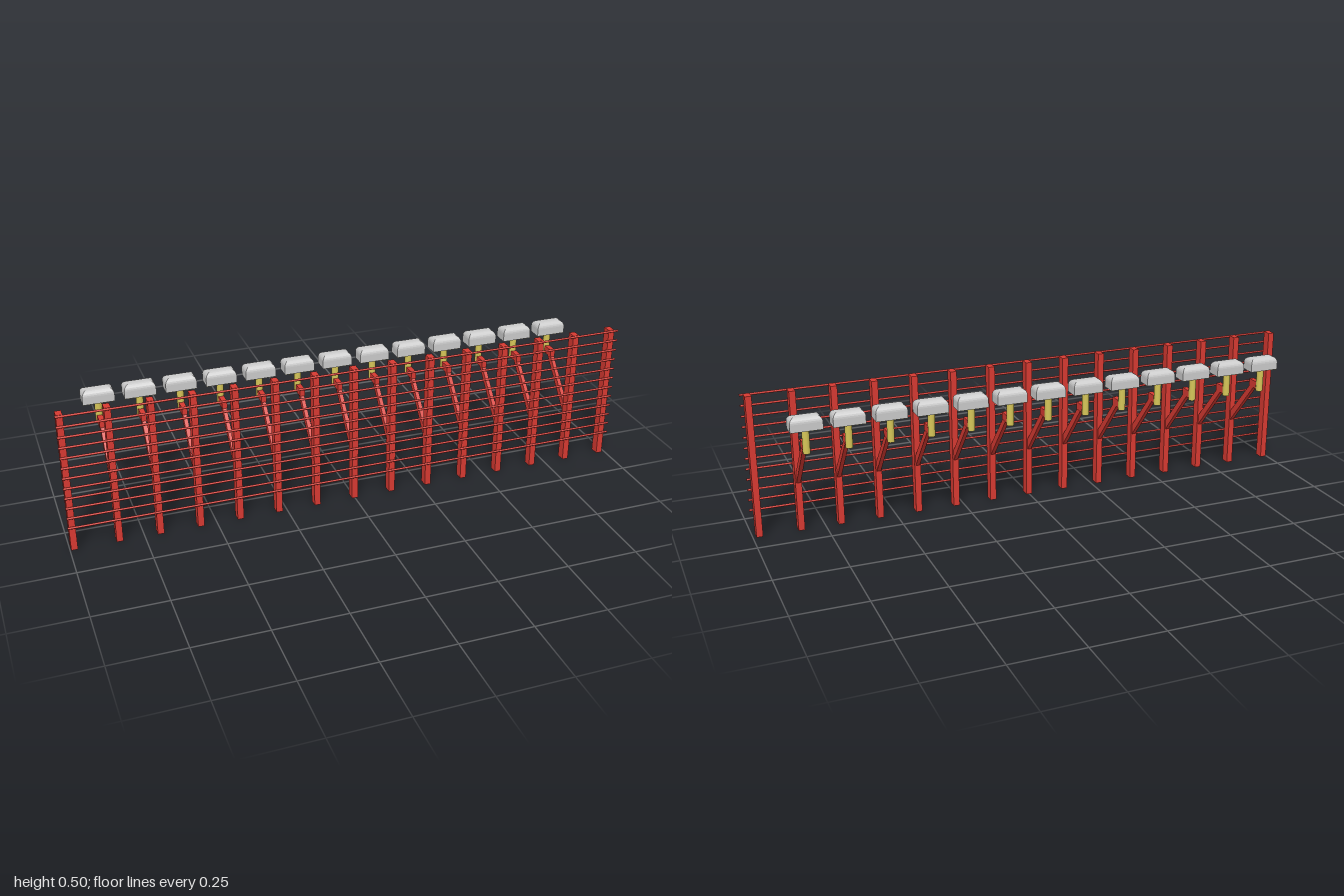
import * as THREE from 'three';

const red = new THREE.MeshStandardMaterial({ color: 0xd83a32 });
const yellow = new THREE.MeshStandardMaterial({ color: 0xd6c658 });
const grey = new THREE.MeshStandardMaterial({ color: 0xcccccc, flatShading: true });

function part(name, geometry, material, x = 0, y = 0, z = 0) {
  const mesh = new THREE.Mesh(geometry, material);
  mesh.name = name;
  mesh.position.set(x, y, z);
  return mesh;
}

// Side outline of [z, y] points, extruded along x and centred on x = 0
function sidePlate(points, width) {
  const shape = new THREE.Shape(points.map(([z, y]) => new THREE.Vector2(z, y)));
  const g = new THREE.ExtrudeGeometry(shape, { depth: width, bevelEnabled: false });
  return g.translate(0, 0, -width / 2).rotateY(-Math.PI / 2);
}

// Lamp hood: rectangular rings that shrink along a quarter arc, closed at the top
function hoodGeometry(halfX, halfZ, wall, dome, inset) {
  const rings = [[0, 0]];
  const steps = 6;
  for (let i = 0; i <= steps; i++) {
    const a = (i / steps) * Math.PI / 2;
    rings.push([wall + dome * Math.sin(a), inset * (1 - Math.cos(a))]);
  }
  const pos = [], index = [];
  for (const [y, d] of rings) {
    const x = halfX - d, z = halfZ - d;
    pos.push(-x, y, z, x, y, z, x, y, -z, -x, y, -z);
  }
  for (let r = 0; r < rings.length - 1; r++) {
    for (let k = 0; k < 4; k++) {
      const a = r * 4 + k, b = r * 4 + (k + 1) % 4;
      index.push(a, b, b + 4, a, b + 4, a + 4);
    }
  }
  const t = (rings.length - 1) * 4;
  index.push(t, t + 1, t + 2, t, t + 2, t + 3);
  const g = new THREE.BufferGeometry();
  g.setAttribute('position', new THREE.Float32BufferAttribute(pos, 3));
  g.setIndex(index);
  const flat = g.toNonIndexed();
  flat.computeVertexNormals();
  return flat;
}

export function createModel() {
  const model = new THREE.Group();
  model.name = 'fenceWithLamps';

  const postGeo = new THREE.BoxGeometry(0.022, 0.5, 0.033);
  const braceGeo = sidePlate([[0.09, 0.166], [0.09, 0.204], [-0.05, 0.363], [-0.075, 0.361]], 0.014);
  const bracketGeo = new THREE.BoxGeometry(0.018, 0.027, 0.048);
  const stemGeo = new THREE.CylinderGeometry(0.0125, 0.0125, 0.083, 12);
  const hoodGeo = hoodGeometry(0.0535, 0.027, 0.026, 0.021, 0.02);
  const lensGeo = new THREE.BoxGeometry(0.105, 0.002, 0.052);
  const wireGeo = new THREE.CylinderGeometry(0.004, 0.004, 2, 8).rotateZ(Math.PI / 2);

  // End posts
  for (const x of [-0.985, 0.977]) model.add(part('endPost', postGeo, red, x, 0.25, 0.0985));

  // Inner posts, each carrying a lamp on a slanted brace
  for (let i = 0; i < 13; i++) {
    const bay = new THREE.Group();
    bay.name = 'lampPost';
    bay.position.x = (i - 6) * 0.139;
    bay.add(
      part('post', postGeo, red, 0, 0.25, 0.0985),
      part('brace', braceGeo, red),
      part('bracket', bracketGeo, red, 0, 0.3645, -0.064),
      part('lampStem', stemGeo, yellow, 0, 0.3885, -0.0945),
      part('lampHood', hoodGeo, grey, 0, 0.43, -0.0935),
      part('lampLens', lensGeo, yellow, 0, 0.43, -0.0935)
    );
    model.add(bay);
  }

  // Horizontal wires along the front of the posts
  for (let i = 0; i < 12; i++) {
    model.add(part('wire', wireGeo, red, 0, 0.087 + i * 0.0372, 0.118));
  }

  return model;
}
